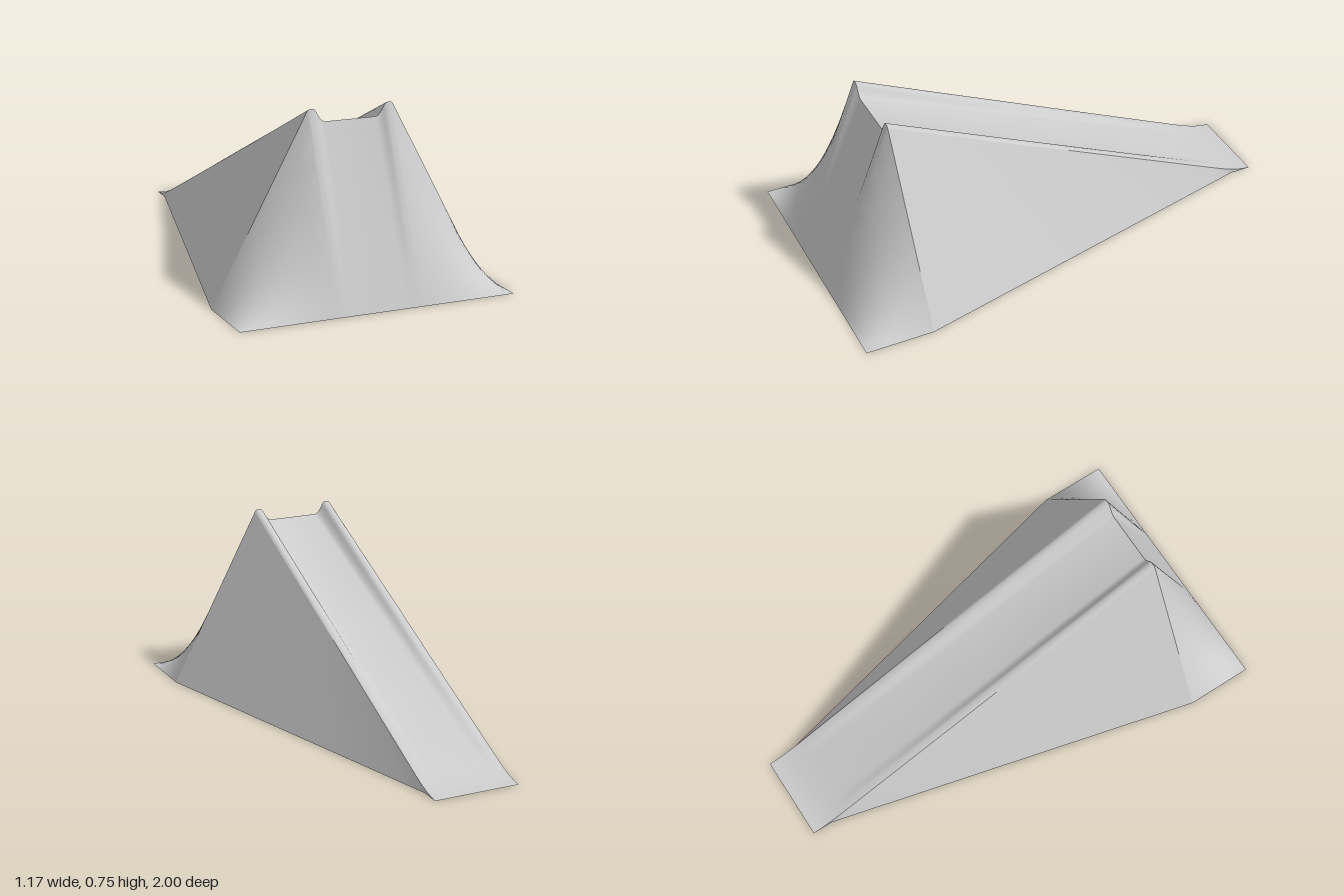
import * as THREE from 'three';
import { toCreasedNormals } from 'three/addons/utils/BufferGeometryUtils.js';

const RIDGE_Z = 0.71, HALF = 0.185, FOOT = 0.585;

// Half profile of the rail: [x, share of the rail height]
const RAIL = [[0.11, 0], [0.12, 0.08], [0.13, 0.27], [0.14, 0.55], [0.147, 0.82],
  [0.155, 0.96], [0.165, 1], [0.175, 0.97], [0.18, 0.92], [HALF, 0.8]];
const PROFILE = [...RAIL.map(([x, h]) => [-x, h]).reverse(), ...RAIL];

// Run-out at the foot of the slide, then a straight climb to the ridge: [z, y]
const RUN = [[-1, 0], [-0.97, 0.004], [-0.94, 0.01], [-0.91, 0.019], [-0.88, 0.03],
  [-0.84, 0.047], [-0.8, 0.065], [-0.4, 0.248], [0, 0.431], [0.4, 0.613], [RIDGE_Z, 0.755]];

const railHeight = (z) => 0.055 * THREE.MathUtils.clamp((z + 0.9) / (RIDGE_Z + 0.9), 0, 1);
const footWidth = (z) => THREE.MathUtils.mapLinear(Math.max(z, -0.91), -0.91, RIDGE_Z, HALF, FOOT);

// Cross-section of the chute at one station of the run
const chuteRow = ([z, y]) => PROFILE.map(([x, h]) => [x, y - railHeight(z) * (1 - h), z]);

// Surface through rows of points (rows advance in z, columns in x)
function loft(rows, crease) {
  const n = rows[0].length, index = [];
  for (let i = 0; i < rows.length - 1; i++) {
    for (let j = 0; j < n - 1; j++) {
      const a = i * n + j, b = a + 1, c = a + n, d = c + 1;
      index.push(a, c, b, b, c, d);
    }
  }
  const geometry = new THREE.BufferGeometry();
  geometry.setAttribute('position', new THREE.Float32BufferAttribute(rows.flat(2), 3));
  geometry.setIndex(index);
  return toCreasedNormals(geometry, crease);
}

export function createModel() {
  const group = new THREE.Group();
  const grey = new THREE.MeshStandardMaterial({ color: 0xcccccc, side: THREE.DoubleSide });
  grey.name = 'light grey';
  const add = (name, rows, crease = 0.6) => {
    const mesh = new THREE.Mesh(loft(rows, crease), grey);
    mesh.name = name;
    group.add(mesh);
  };

  // Sliding surface with a rounded rail on each side
  add('chute', RUN.map(chuteRow));

  // Sloping side walls, flaring out towards the front
  for (const side of [1, -1]) {
    add(side > 0 ? 'leftWall' : 'rightWall', RUN.map((station) => {
      const z = station[0], top = chuteRow(station).at(-1)[1];
      const row = [[side * HALF, top, z], [side * footWidth(z), 0, z]];
      return side > 0 ? row : row.reverse();
    }));
  }

  // Front ramp: the full ridge section sinking to a straight edge on the ground
  const ridge = chuteRow(RUN.at(-1)).map(([x, y]) => [x, y]);
  const edge = ridge.at(-1)[1], flank = [];
  for (let k = 1; k <= 8; k++) {
    flank.push([THREE.MathUtils.lerp(HALF, FOOT, k / 8), edge * (1 - k / 8)]);
  }
  const section = [...flank.map(([x, y]) => [-x, y]).reverse(), ...ridge, ...flank];
  const rampRows = [];
  for (let i = 0; i <= 16; i++) {
    const t = i / 16;
    rampRows.push(section.map(([x, y]) => [x, y * (1 - t), THREE.MathUtils.lerp(RIDGE_Z, 1, t)]));
  }
  add('frontRamp', rampRows);

  return group;
}
